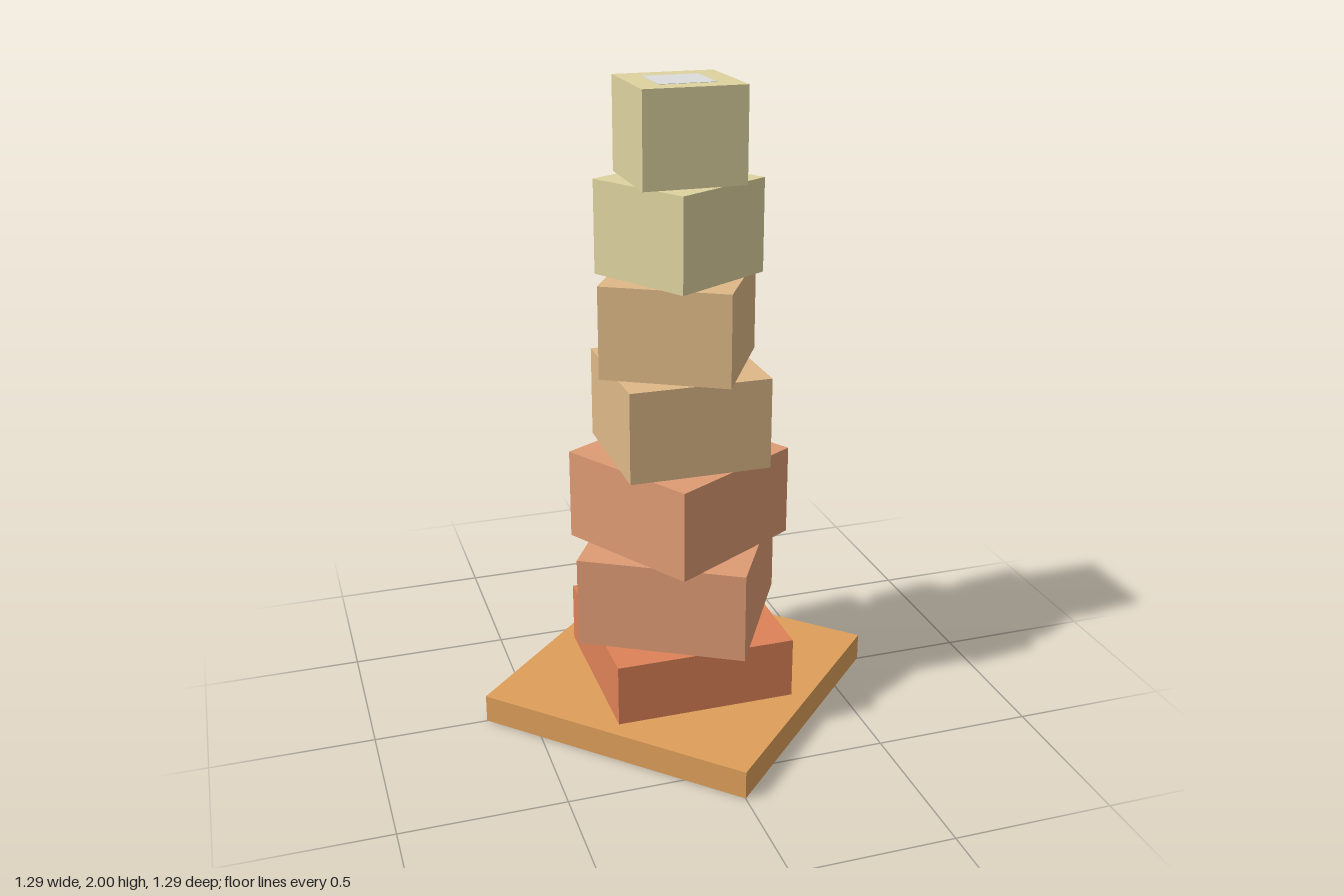
import * as THREE from 'three';

const mat = (name, color) => {
  const m = new THREE.MeshStandardMaterial({ color });
  m.name = name;
  return m;
};

export function createModel() {
  const group = new THREE.Group();
  group.name = 'twistedTower';

  const wood = mat('ochre wood', 0xde9f5a);
  const terracotta = mat('terracotta', 0xde8259);
  const clay = mat('clay', 0xde9b74);
  const tan = mat('tan', 0xdeb887);
  const straw = mat('straw', 0xded29f);
  const grey = mat('pale grey', 0xdcdcdc);

  // Upright square block between two heights, turned about y
  const addBlock = (name, side, y0, y1, degrees, material) => {
    const mesh = new THREE.Mesh(new THREE.BoxGeometry(side, y1 - y0, side), material);
    mesh.name = name;
    mesh.position.y = (y0 + y1) / 2;
    mesh.rotation.y = THREE.MathUtils.degToRad(degrees);
    group.add(mesh);
  };

  // Base slab, set as a diamond
  addBlock('baseSlab', 0.912, 0.001, 0.09, 45, wood);

  // Seven shrinking storeys, each turned a further 30 degrees
  const colours = [terracotta, clay, clay, tan, tan, straw, straw];
  const step = 2 / colours.length;
  colours.forEach((material, i) => {
    const bottom = Math.max(i * step, 0.01);
    const top = Math.min((i + 1) * step, 1.999);
    addBlock(`storey${i + 1}`, 0.57 - i * 0.0427, bottom, top, -30 * i, material);
  });

  // Core running through the whole tower, showing at both ends
  addBlock('core', 0.173, 0, 2, 0, grey);

  return group;
}
